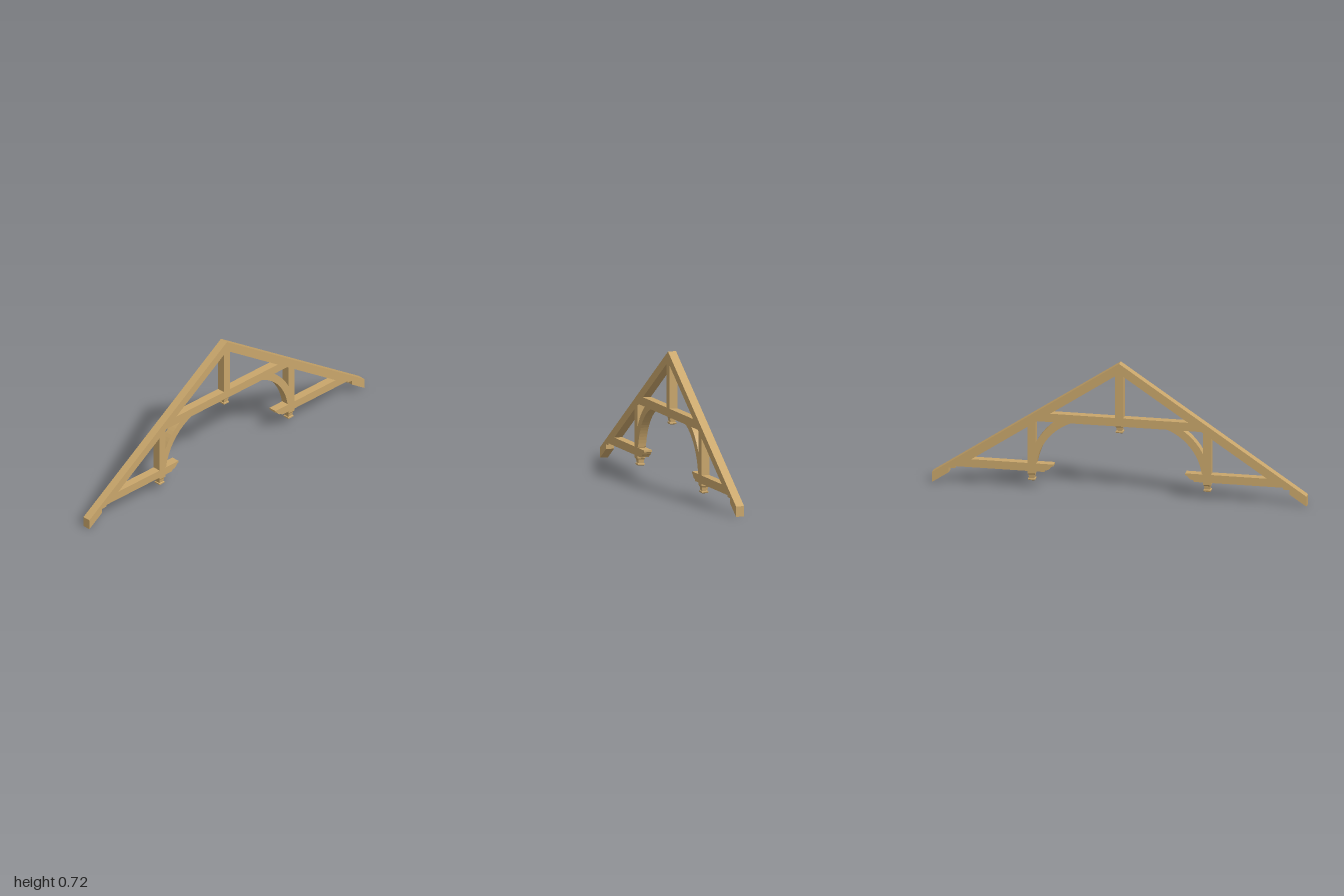
import * as THREE from 'three';

const DEPTH = 0.045;
const SLOPE = 0.665;
const wood = new THREE.MeshStandardMaterial({ color: 0xc9a66b });
wood.name = 'oak';

// height of the rafter underside at a given distance from the middle
const under = (x) => SLOPE * (1 - Math.abs(x));
// distance from the middle at which the rafter underside has height y
const reach = (y) => 1 - y / SLOPE;

// flat timber cut from an outline; side = -1 mirrors it
function timber(name, points, side = 1, depth = DEPTH) {
  const shape = new THREE.Shape(points.map(([x, y]) => new THREE.Vector2(x * side, y)));
  const geo = new THREE.ExtrudeGeometry(shape, { depth, bevelEnabled: false });
  geo.translate(0, 0, -depth / 2);
  const mesh = new THREE.Mesh(geo, wood);
  mesh.name = name;
  return mesh;
}

// points along a circle
function arc(cx, cy, r, from, to, n) {
  return Array.from({ length: n + 1 }, (_, i) => {
    const a = from + ((to - from) * i) / n;
    return [cx + r * Math.cos(a), cy + r * Math.sin(a)];
  });
}

// square turned drop under a post
function pendant(name, x, y) {
  const profile = [[0, 0], [0.014, 0], [0.019, 0.004], [0.019, 0.011], [0.0145, 0.013], [0.0165, 0.032], [0.0215, 0.04]];
  const geo = new THREE.LatheGeometry(
    profile.map(([r, h]) => new THREE.Vector2(r * Math.SQRT2, h)), 4, Math.PI / 4).toNonIndexed();
  geo.computeVertexNormals();
  const mesh = new THREE.Mesh(geo, wood);
  mesh.name = name;
  mesh.position.set(x, y, 0);
  return mesh;
}

export function createModel() {
  const truss = new THREE.Group();
  truss.name = 'roofTruss';

  for (const side of [1, -1]) {
    const label = side > 0 ? 'left' : 'right';
    const half = new THREE.Group();
    half.name = label + 'Half';

    // rafter with plumb-cut tail and stepped seat
    half.add(timber('rafter', [
      [0, 0.72], [0, 0.665], [reach(0.096), 0.096], [0.875, 0.096], [0.875, 0.086],
      [0.91, 0.085], [0.91, 0.06], [1, 0], [1, 0.055],
    ], side));

    // short tie beam with a moulded inner end
    half.add(timber('hammerBeam', [
      [reach(0.14), 0.14], [0.352, 0.14], [0.352, 0.13], [0.364, 0.126],
      [0.37, 0.116], [0.38, 0.108], [0.394, 0.105], [0.4, 0.096], [reach(0.096), 0.096],
    ], side));

    // side post and its drop
    half.add(timber('sidePost', [
      [0.447, 0.083], [0.49, 0.083], [0.49, under(0.49)], [0.447, under(0.447)],
    ], side));
    half.add(pendant('sidePendant', 0.4685 * side, 0.043));

    // curved brace between side post and collar beam
    const cx = 0.15, cy = 0.1, ri = 0.294, ro = 0.334;
    const inner = arc(cx, cy, ri, 0.15, Math.asin(0.274 / ri), 16);
    const outer = arc(cx, cy, ro, Math.asin(0.274 / ro), Math.acos(0.297 / ro), 8);
    half.add(timber('curvedBrace', [[0.447, 0.14], ...inner, ...outer], side, DEPTH - 0.001));

    truss.add(half);
  }

  // collar beam fitted between the rafters
  truss.add(timber('collarBeam', [
    [-reach(0.374), 0.374], [reach(0.374), 0.374], [reach(0.42), 0.42], [-reach(0.42), 0.42],
  ]));

  // king post and its drop
  const w = 0.0215;
  truss.add(timber('kingPost', [[-w, 0.374], [w, 0.374], [w, under(w)], [0, under(0)], [-w, under(w)]]));
  truss.add(pendant('kingPendant', 0, 0.335));

  return truss;
}
